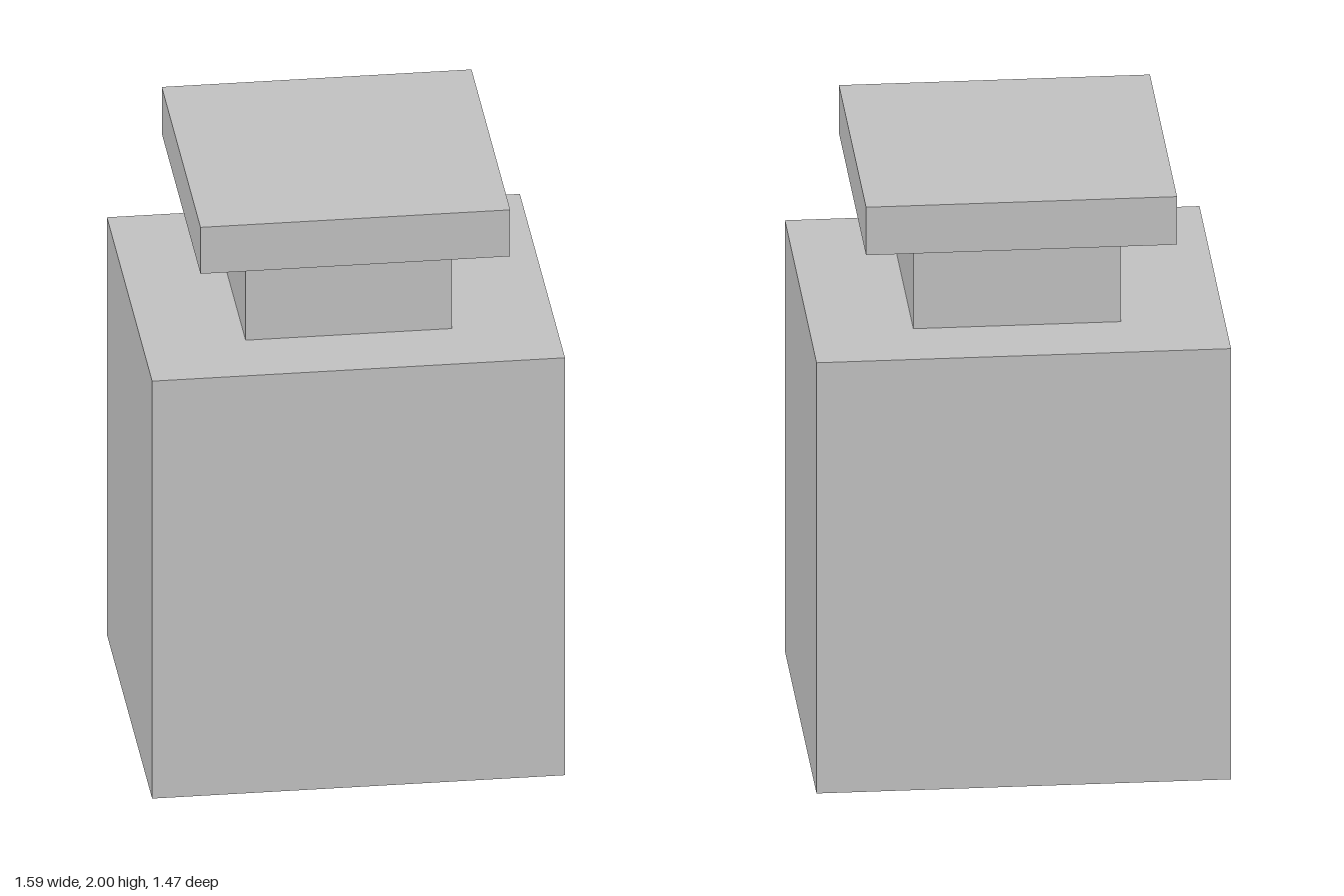
import * as THREE from 'three';

export function createModel() {
  const grey = new THREE.MeshStandardMaterial({ color: 0xc0c0c0 });
  grey.name = 'grey';

  const model = new THREE.Group();
  model.name = 'squareBottle';

  // Square-cut block resting on height y
  const addBlock = (name, width, height, depth, y) => {
    const mesh = new THREE.Mesh(new THREE.BoxGeometry(width, height, depth), grey);
    mesh.name = name;
    mesh.position.y = y + height / 2;
    model.add(mesh);
  };

  addBlock('body', 1.333, 1.5, 1.167, 0);
  addBlock('neck', 0.667, 0.333, 0.667, 1.5);
  addBlock('lid', 1, 0.167, 1, 1.833);

  // The whole bottle is turned slightly about its upright axis
  model.rotation.y = THREE.MathUtils.degToRad(15);
  return model;
}
